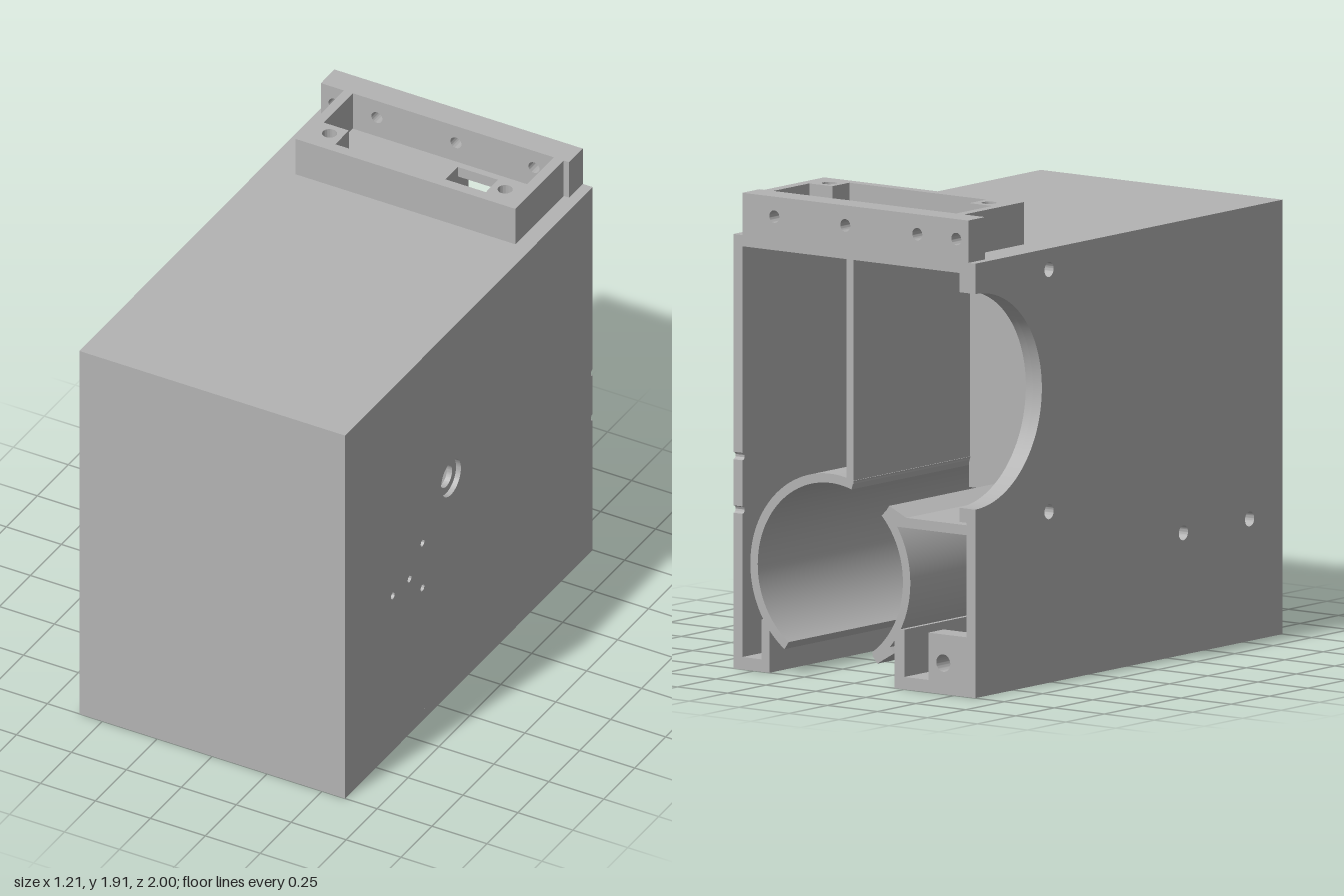
import * as THREE from 'three';
import { toCreasedNormals } from 'three/addons/utils/BufferGeometryUtils.js';

const grey = new THREE.MeshStandardMaterial({ color: 0xb3b3b3 });
grey.name = 'plainGrey';

// Shape helpers
const poly = (pts) => new THREE.Shape(pts.map(([a, b]) => new THREE.Vector2(a, b)));
const rect = (a0, b0, a1, b1) => poly([[a0, b0], [a1, b0], [a1, b1], [a0, b1]]);
const circle = (a, b, r) => new THREE.Path().absarc(a, b, r, 0, Math.PI * 2, false);
const withHoles = (shape, ...holes) => {
  shape.holes.push(...holes);
  return shape;
};

export function createModel() {
  const model = new THREE.Group();
  model.name = 'deviceHousing';

  // Extrudes from lo to hi along an axis. Shape coordinates:
  // axis x: (-z, y), axis y: (x, -z), axis z: (x, y)
  function extrude(name, shape, axis, lo, hi) {
    let g = new THREE.ExtrudeGeometry(shape, { depth: hi - lo, bevelEnabled: false, curveSegments: 32 });
    g.translate(0, 0, lo);
    if (axis === 'x') g.rotateY(Math.PI / 2);
    if (axis === 'y') g.rotateX(-Math.PI / 2);
    g = toCreasedNormals(g, 0.5);
    const mesh = new THREE.Mesh(g, grey);
    mesh.name = name;
    model.add(mesh);
  }
  function box(name, x0, x1, y0, y1, z0, z1) {
    const mesh = new THREE.Mesh(new THREE.BoxGeometry(x1 - x0, y1 - y0, z1 - z0), grey);
    mesh.position.set((x0 + x1) / 2, (y0 + y1) / 2, (z0 + z1) / 2);
    mesh.name = name;
    model.add(mesh);
  }

  const H = 1.745, W = 0.605, T = 0.045;

  // Left wall with counterbored button hole, small holes and notched rear edge
  function leftWall(buttonRadius) {
    const s = new THREE.Shape();
    s.moveTo(-1, 0);
    s.lineTo(1, 0);
    for (const y of [0.64, 0.855]) {
      s.lineTo(1, y - 0.015);
      s.absarc(1, y, 0.015, -Math.PI / 2, Math.PI / 2, true);
    }
    s.lineTo(1, H);
    s.lineTo(-1, H);
    return withHoles(s, circle(-0.145, 1.03, buttonRadius),
      ...[[0.375, 0.855], [0.615, 0.745], [0.48, 0.745], [0.375, 0.64]].map(([z, y]) => circle(-z, y, 0.015)));
  }
  extrude('leftWallInner', leftWall(0.048), 'x', W - T, W - 0.022);
  extrude('leftWallOuter', leftWall(0.08), 'x', W - 0.022, W);

  // Right wall with a half-round cutout at the rear, thicker in its upper part
  function rightWall(bottom, holes) {
    const s = new THREE.Shape();
    s.moveTo(-1, bottom);
    s.lineTo(1, bottom);
    s.lineTo(1, 0.757);
    s.absarc(1, 1.19, 0.433, -Math.PI / 2, Math.PI / 2, true);
    s.lineTo(1, H);
    s.lineTo(-1, H);
    return withHoles(s, ...holes.map(([z, y]) => circle(-z, y, 0.03)));
  }
  extrude('rightWall', rightWall(0, [[-0.52, 1.66], [-0.52, 0.687], [0.354, 0.49], [0.785, 0.49]]), 'x', -W, -W + T);
  extrude('rightWallLiner', rightWall(0.7, [[-0.52, 1.66]]), 'x', -W + T, -0.525);

  // Front wall and roof with a window
  box('frontWall', -W, W, 0, H, 1 - T, 1);
  extrude('roof', withHoles(rect(-W, -1, W, 1), rect(0.07, 0.69, 0.345, 0.86)), 'y', H - T, H);

  // Floor: open towards the rear, with a front slot and a long side slot
  const floor = poly([[-W, -1], [W, -1], [W, 1], [0.425, 1], [0.425, -0.63], [-0.2, -0.63], [-0.2, 1], [-W, 1]]);
  extrude('floor', withHoles(floor, rect(-0.54, -0.955, 0.56, -0.85), rect(-0.53, -0.76, -0.37, 0.9)), 'y', 0, 0.05);

  // Cylindrical cradle, open below and through a slit on top
  const cx = 0.12, cy = 0.43, rad = Math.PI / 180;
  for (const [name, from, to] of [['cradleLeft', -55, 107], ['cradleRight', 135, 235]]) {
    const s = new THREE.Shape();
    s.absarc(cx, cy, 0.4, from * rad, to * rad, false);
    s.absarc(cx, cy, 0.363, to * rad, from * rad, true);
    extrude(name, s, 'z', -1, 0.6);
  }
  extrude('cradleLip', poly([[-0.2, 0.14], [-0.115, 0.09], [-0.09, 0.12], [-0.16, 0.18]]), 'z', -1, 0.55);
  box('cradleEnd', -0.25, 0.47, 0, 0.85, 0.59, 0.63);

  // Rails under the cradle
  box('leftRail', 0.425, 0.465, 0, 0.21, -1, 0.63);
  box('rightRail', -0.25, -0.2, 0, 0.24, -1, 0.63);

  // Right-hand lower compartment: cover, ledge and screw boss
  box('compartmentCover', -0.56, -0.22, 0.65, 0.69, -1, 0.63);
  extrude('coverLedge', poly([[-0.27, 0.65], [-0.2, 0.65], [-0.16, 0.71], [-0.175, 0.73], [-0.26, 0.69]]), 'z', -1, 0.6);
  extrude('screwBoss', withHoles(rect(-0.56, 0, -0.37, 0.24), circle(-0.445, 0.125, 0.035)), 'z', -1, -0.9);

  // Upper divider and bulkhead
  box('divider', 0.005, 0.04, 0.8, H - T, -1, 0.96);
  box('bulkhead', -0.53, 0.01, 0.69, H - T, -0.24, -0.2);

  // Raised connector collar on the roof: drilled rear plate and U-shaped frame
  const top = 1.915;
  extrude('collarPlate', withHoles(rect(-0.57, H - T, 0.56, top),
    ...[-0.51, -0.315, 0.045, 0.4].map((x) => circle(x, 1.835, 0.025))), 'z', -1, -0.89);
  const frame = poly([[-0.465, 0.5], [0.535, 0.5], [0.535, 0.89], [0.49, 0.89], [0.49, 0.655], [0.375, 0.655],
    [0.375, 0.545], [-0.31, 0.545], [-0.31, 0.655], [-0.425, 0.655], [-0.425, 0.89], [-0.465, 0.89]]);
  extrude('collarFrame', withHoles(frame, circle(-0.367, 0.6, 0.03), circle(0.432, 0.6, 0.03)), 'y', H, top);

  return model;
}
